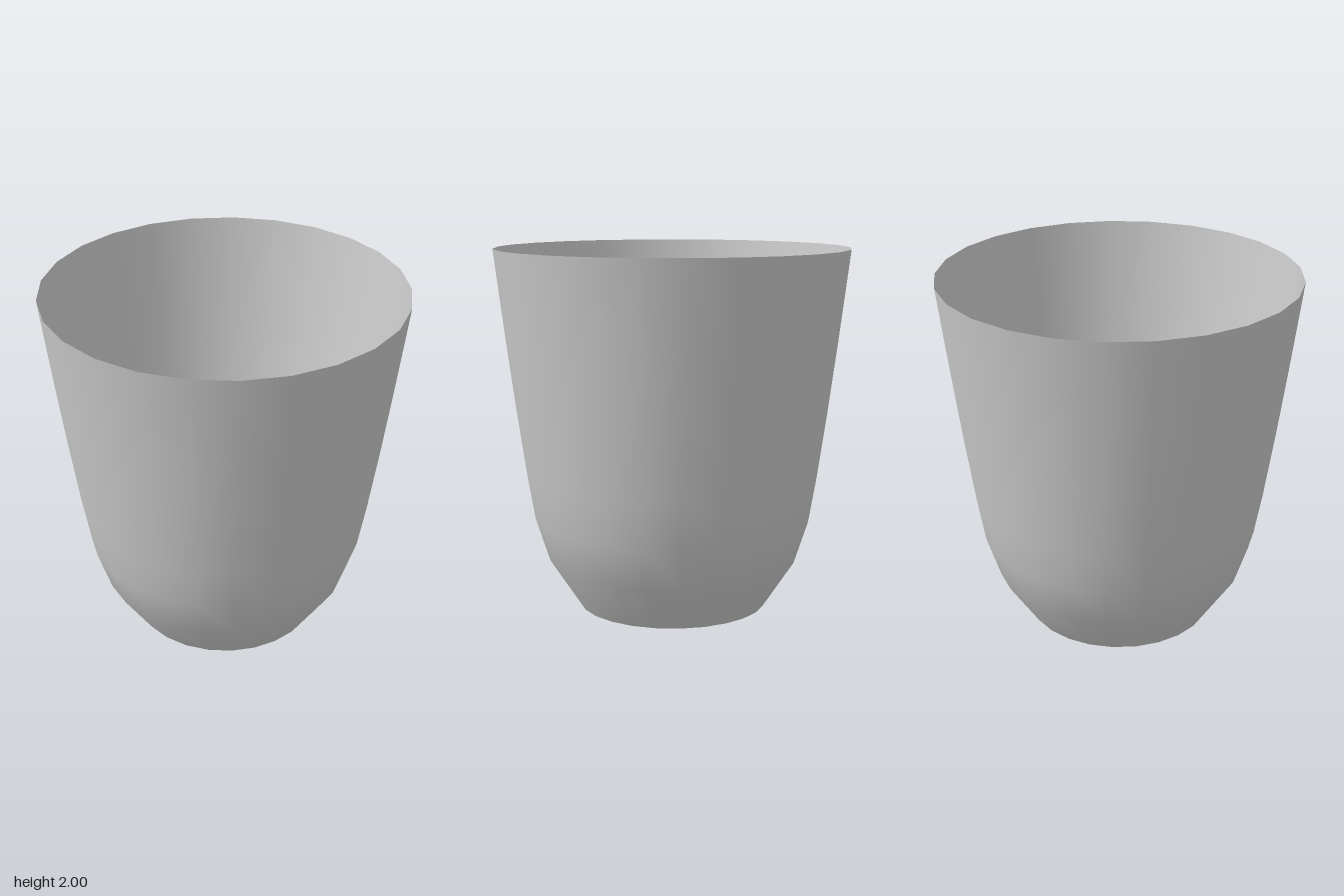
import * as THREE from 'three';

export function createModel() {
  const group = new THREE.Group();
  group.name = 'cup';

  // Wall profile, bottom to top: radius, height
  const profile = [
    [0.525, 0], [0.695, 0.26], [0.772, 0.5], [0.814, 0.75],
    [0.868, 1.13], [0.916, 1.5], [0.977, 2],
  ].map(([r, y]) => new THREE.Vector2(r, y));

  // Thin tapered wall, open at both ends, with a corner on +x
  const wall = new THREE.Mesh(
    new THREE.LatheGeometry(profile, 25, Math.PI / 2),
    new THREE.MeshStandardMaterial({ color: 0xcccccc, side: THREE.DoubleSide })
  );
  wall.name = 'cupWall';
  wall.position.x = -0.004; // centres the odd-sided outline
  group.add(wall);

  return group;
}
